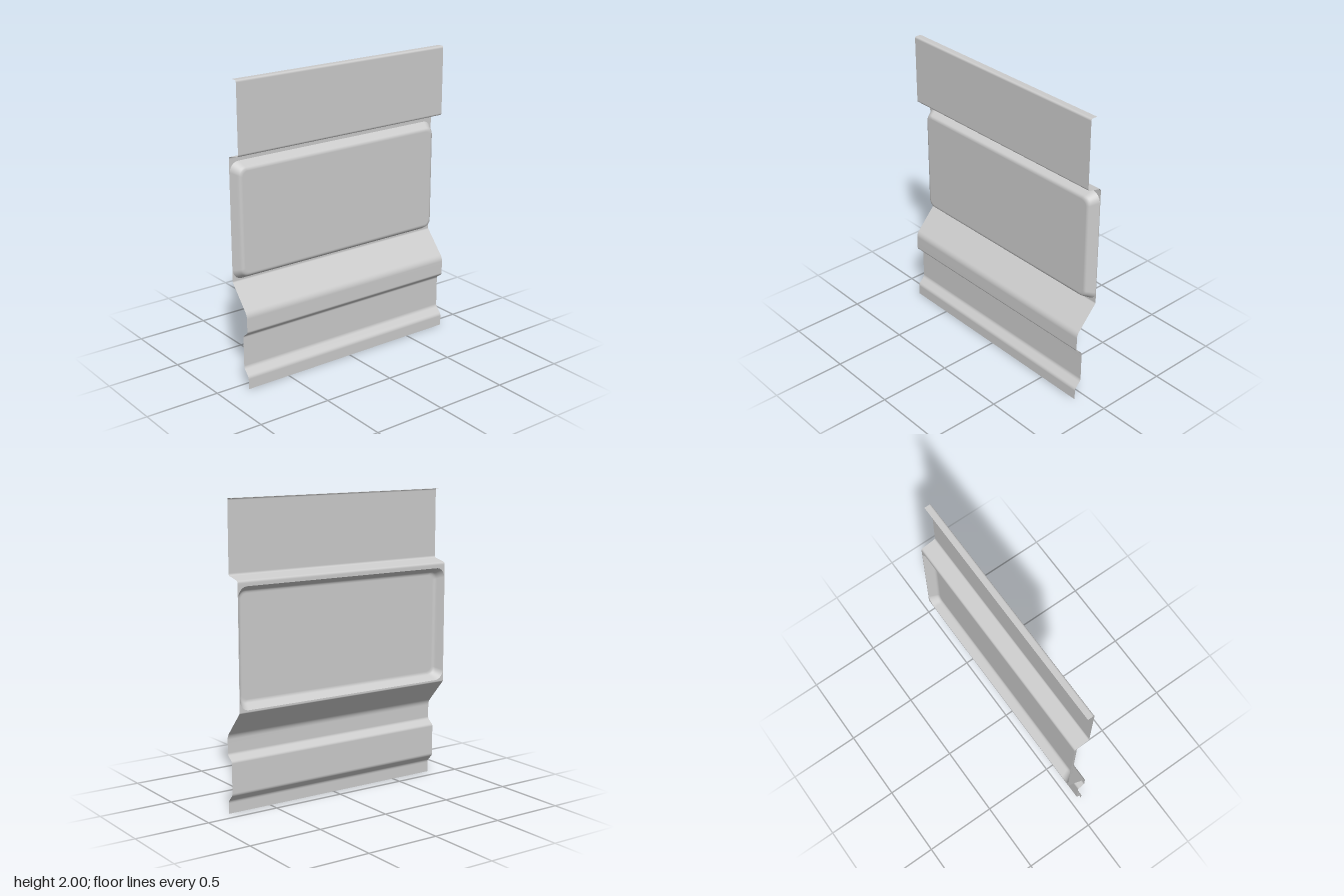
import * as THREE from 'three';

const HALF_LENGTH = 0.81;   // sheet half length along z
const BACK = -0.078;        // x of the recessed web
const PANEL_Y = 1.085;      // centre height of the embossed panel
const material = new THREE.MeshStandardMaterial({ color: 0xcccccc, side: THREE.DoubleSide });

function addMesh(group, name, geometry) {
  const mesh = new THREE.Mesh(geometry, material);
  mesh.name = name;
  group.add(mesh);
}

function indexed(positions, indices) {
  const g = new THREE.BufferGeometry();
  g.setAttribute('position', new THREE.Float32BufferAttribute(positions, 3));
  g.setIndex(indices);
  g.computeVertexNormals();
  return g;
}

// Polyline of [x, y, bend] whose corners are rounded off over the distance "bend"
function roundedProfile(corners) {
  const pts = corners.map(([x, y]) => new THREE.Vector2(x, y));
  const out = [pts[0]];
  for (let i = 1; i < pts.length - 1; i++) {
    const toward = (q) => pts[i].clone().add(q.clone().sub(pts[i]).setLength(corners[i][2]));
    const bend = new THREE.QuadraticBezierCurve(toward(pts[i - 1]), pts[i], toward(pts[i + 1]));
    out.push(...bend.getPoints(6));
  }
  out.push(pts[pts.length - 1]);
  return out;
}

// Folded sheet: a profile listed from top to bottom, swept along z
function foldedSheet(corners) {
  const positions = [], indices = [];
  roundedProfile(corners).forEach((p, i) => {
    positions.push(p.x, p.y, HALF_LENGTH, p.x, p.y, -HALF_LENGTH);
    if (i > 0) {
      const a = 2 * i - 2, b = 2 * i;
      indices.push(a, b, b + 1, a, b + 1, a + 1);
    }
  });
  return indexed(positions, indices);
}

function roundedRect(Type, w, h, r) {
  const s = new Type(), q = Math.PI / 2;
  s.absarc(w - r, h - r, r, 0, q);
  s.absarc(-w + r, h - r, r, q, 2 * q);
  s.absarc(-w + r, -h + r, r, 2 * q, 3 * q);
  s.absarc(w - r, -h + r, r, 3 * q, 4 * q);
  return s;
}

// Outline of the embossed panel, pulled in by "inset"
const panelOutline = (Type, inset) =>
  roundedRect(Type, 0.806 - inset, 0.386 - inset, 0.065 - inset * 0.5);

// Flat shape turned to face +x
function faceSide(shape, x) {
  return new THREE.ShapeGeometry(shape, 8).rotateY(Math.PI / 2).translate(x, PANEL_Y, 0);
}

// Sloping wall around the panel, built from inset rings [inset, x]
function embossWall(rings) {
  const positions = [], indices = [];
  let n = 0;
  rings.forEach(([inset, x], k) => {
    const loop = panelOutline(THREE.Shape, inset).getPoints(8);
    n = loop.length;
    loop.forEach((p, j) => {
      positions.push(x, PANEL_Y + p.y, -p.x);
      if (k > 0) {
        const a = (k - 1) * n + j, b = (k - 1) * n + (j + 1) % n;
        indices.push(a, b, b + n, a, b + n, a + n);
      }
    });
  });
  return indexed(positions, indices);
}

export function createModel() {
  const group = new THREE.Group();
  group.name = 'pressedSidePanel';

  // Top flange, upper web and the step back to the recessed web
  addMesh(group, 'upperSheet', foldedSheet([
    [-0.018, 2.0], [0.028, 2.0, 0.015], [0.028, 1.53, 0.014],
    [BACK, 1.507, 0.016], [BACK, 1.48],
  ]));

  // Narrow border around the embossed panel
  const frame = new THREE.Shape();
  const top = 1.48 - PANEL_Y, bottom = 0.692 - PANEL_Y;
  frame.moveTo(-HALF_LENGTH, bottom).lineTo(HALF_LENGTH, bottom)
    .lineTo(HALF_LENGTH, top).lineTo(-HALF_LENGTH, top);
  frame.holes.push(panelOutline(THREE.Path, 0));
  addMesh(group, 'panelFrame', faceSide(frame, BACK));

  // Embossed panel: sloping wall and flat face
  const rings = [[0, BACK], [0.004, -0.071], [0.024, -0.036], [0.028, -0.029],
    [0.033, -0.022], [0.04, -0.018], [0.048, -0.016], [0.054, -0.016]];
  addMesh(group, 'panelWall', embossWall(rings));
  addMesh(group, 'panelFace', faceSide(panelOutline(THREE.Shape, 0.054), -0.016));

  // Lower slope, outer ridge, groove and bottom lip
  addMesh(group, 'lowerSheet', foldedSheet([
    [BACK, 0.692], [BACK, 0.685, 0.005], [0.076, 0.51, 0.025], [0.076, 0.388, 0.012],
    [0.028, 0.352, 0.012], [0.028, 0.132, 0.014], [0.076, 0.082, 0.014], [0.076, 0],
  ]));

  return group;
}
